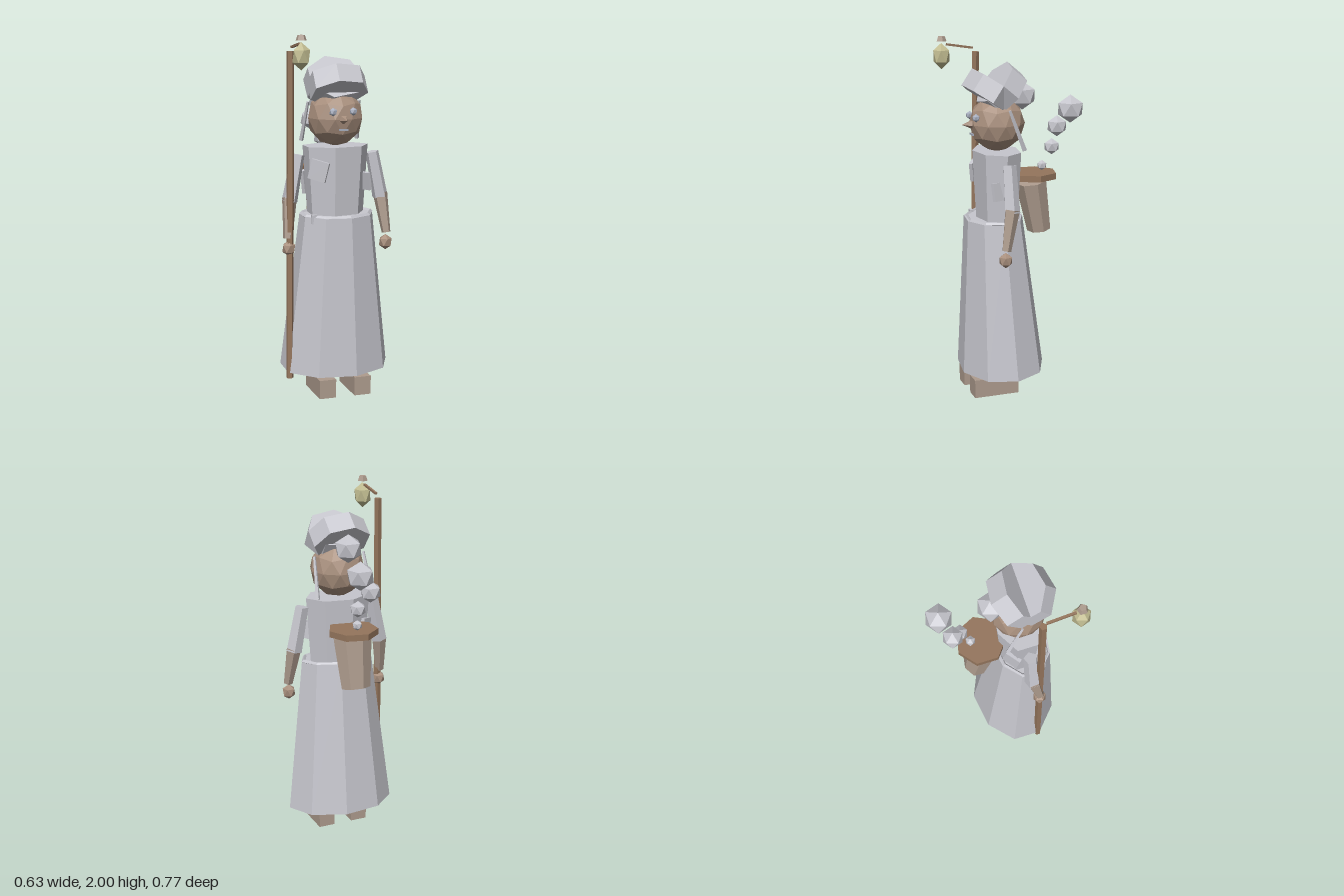
import * as THREE from 'three';

const mat = (name, color) => Object.assign(new THREE.MeshStandardMaterial({ color }), { name });
const rad = THREE.MathUtils.degToRad;

// Faceted normals for every part
function facet(geo) {
  const g = geo.index ? geo.toNonIndexed() : geo;
  g.computeVertexNormals();
  return g;
}
// Prism or frustum with one corner towards +x, squashed along z
const prism = (rTop, rBottom, h, sides, squash = 1) =>
  facet(new THREE.CylinderGeometry(rTop, rBottom, h, sides).rotateY(Math.PI / 2).scale(1, 1, squash));
// Icosahedron standing on a corner
const gem = (r, stretch = 1, detail = 0) =>
  facet(new THREE.IcosahedronGeometry(r, detail).rotateX(-Math.atan((1 + Math.sqrt(5)) / 2)).scale(1, stretch, 1));
const box = (w, h, d) => new THREE.BoxGeometry(w, h, d);

export function createModel() {
  const group = new THREE.Group();
  const cloth = mat('grey cloth', 0xc6c6cd);
  const skin = mat('skin', 0xa88f7d);
  const leather = mat('pale leather', 0xae9c8e);
  const wood = mat('brown wood', 0x94755c);
  const glow = mat('lantern glass', 0xc2bd92);
  const eyeTone = mat('eye', 0xa9b0c0);

  function add(name, geo, material, pos = [0, 0, 0], rot = [0, 0, 0]) {
    const m = new THREE.Mesh(geo, material);
    m.name = name;
    m.position.set(...pos);
    m.rotation.set(...rot.map(rad));
    group.add(m);
    return m;
  }
  // Tapered limb from a (upper end) to b (lower end)
  function limb(name, a, b, ra, rb, sides, material) {
    const A = new THREE.Vector3(...a), B = new THREE.Vector3(...b);
    const up = A.clone().sub(B);
    const m = add(name, prism(ra, rb, up.length(), sides), material);
    m.position.copy(A).add(B).multiplyScalar(0.5);
    m.quaternion.setFromUnitVectors(new THREE.Vector3(0, 1, 0), up.normalize());
    return m;
  }

  // Skirt, bodice and belt
  add('skirt', prism(0.21, 0.314, 0.88, 9, 0.77), cloth, [0, 0.575, 0.109], [2.6, 0, 0]);
  add('bodice', prism(0.19, 0.163, 0.39, 7, 0.69), cloth, [0, 1.195, 0.107]);
  const belt = facet(new THREE.TorusGeometry(0.2, 0.013, 4, 9).rotateX(Math.PI / 2).scale(1, 1, 0.72));
  add('belt', belt, cloth, [0, 1.012, 0.128], [2.6, 0, 0]);
  add('beltKnot', box(0.03, 0.05, 0.02), cloth, [-0.155, 1.0, 0.21]);

  // Patches sewn on the bodice
  add('frontPatch', box(0.1, 0.11, 0.02), cloth, [-0.125, 1.265, 0.2], [0, -35, -14]);
  add('sidePatch', box(0.02, 0.1, 0.08), cloth, [0.158, 1.19, 0.15], [0, 25, 10]);
  add('backPatch', box(0.09, 0.13, 0.02), cloth, [-0.14, 1.19, 0.03], [0, 40, 10]);

  // Shoes and legs
  for (const s of [-1, 1]) {
    add('shoe', box(0.096, 0.105, 0.26), leather, [s * 0.102, 0.0525, 0.16]);
    add('leg', prism(0.036, 0.036, 0.1, 6), cloth, [s * 0.102, 0.14, 0.09]);
  }

  // Arms
  for (const s of [-1, 1]) {
    limb('sleeve', [s * 0.215, 1.345, 0.108], [s * 0.265, 1.09, 0.11], 0.038, 0.045, 5, cloth);
    limb('forearm', [s * 0.265, 1.11, 0.11], [s * 0.288, 0.89, 0.15], 0.043, 0.026, 5, leather);
    add('hand', gem(0.04, 1.1), skin, [s * 0.283, 0.836, 0.152]);
  }

  // Head and face
  add('head', gem(0.155, 1.02, 1), skin, [0, 1.543, 0.105]);
  add('nose', facet(new THREE.ConeGeometry(0.03, 0.07, 5)), skin, [0, 1.543, 0.272], [90, 0, 0]);
  add('mouth', box(0.05, 0.01, 0.009), eyeTone, [0, 1.488, 0.25]);
  for (const s of [-1, 1]) {
    add('eye', gem(0.023), eyeTone, [s * 0.057, 1.585, 0.243]);
    limb('hatRibbon', [s * 0.148, 1.63, 0.08], [s * 0.163, 1.41, 0.0], 0.008, 0.013, 4, cloth);
  }

  // Hat of two tilted discs meeting in a fold, with a bun behind
  const fold = new THREE.Vector3(0, 1.767, 0.12);
  for (const [name, tilt, thick] of [['hatFront', -34, 0.107], ['hatBack', 50, 0.11]]) {
    const geo = prism(0.165, 0.165, thick, 7, 0.86).translate(0, -thick / 2, 0);
    add(name, geo, cloth, fold.toArray(), [tilt, 0, 0]);
  }
  add('bun', gem(0.08), cloth, [0, 1.688, -0.043]);

  // Bucket with lid carried on the back
  add('bucket', prism(0.112, 0.085, 0.285, 7, 0.77), leather, [0, 1.06, -0.12], [10, 0, 0]);
  add('bucketLid', prism(0.14, 0.14, 0.035, 7), wood, [0, 1.237, -0.104]);

  // Puffs of steam: x, y, z, radius
  const puffs = [[0, 1.287, -0.162, 0.029], [0.02, 1.395, -0.212, 0.046],
    [-0.03, 1.5, -0.263, 0.06], [0.052, 1.607, -0.31, 0.079]];
  for (const [x, y, z, r] of puffs) add('steamPuff', gem(r), cloth, [x, y, z]);

  // Staff with hanging lantern
  limb('staff', [-0.265, 1.908, 0.142], [-0.284, 0.1, 0.162], 0.021, 0.021, 5, wood);
  add('lanternArm', box(0.013, 0.012, 0.155), wood, [-0.263, 1.942, 0.235], [-9, 0, 0]);
  add('lantern', gem(0.052, 1.4), glow, [-0.264, 1.89, 0.34]);
  add('lanternCap', prism(0.02, 0.03, 0.028, 5), leather, [-0.264, 1.986, 0.34]);

  return group;
}
